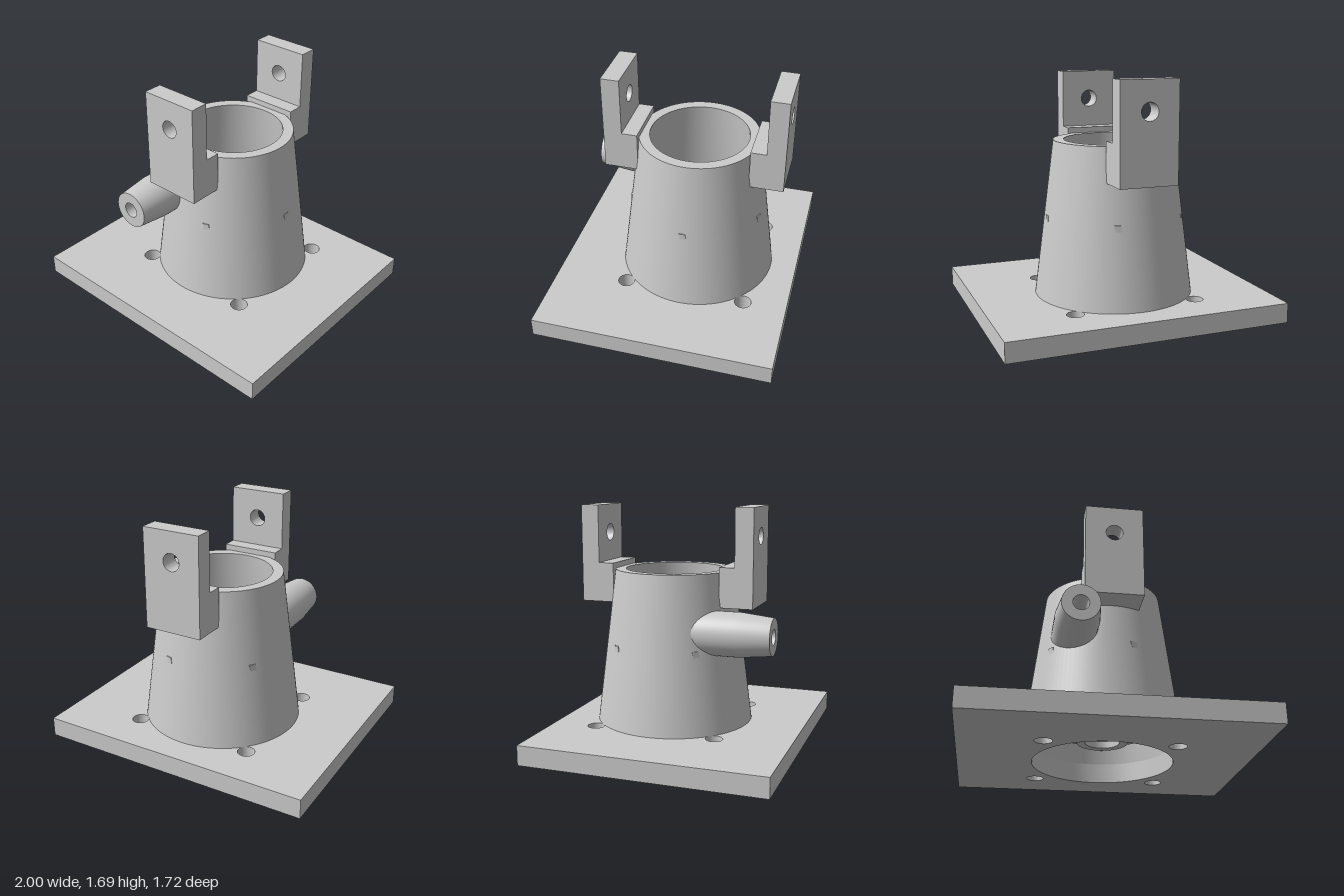
import * as THREE from 'three';
import { toCreasedNormals } from 'three/addons/utils/BufferGeometryUtils.js';

const AXIS_Z = -0.105; // centre of the tapered body
const material = new THREE.MeshStandardMaterial({ color: 0xcccccc });

function addMesh(parent, name, geometry, crease = 0.5) {
  const mesh = new THREE.Mesh(toCreasedNormals(geometry, crease), material);
  mesh.name = name;
  parent.add(mesh);
  return mesh;
}

// Closed ring profile: up the outside, down the inside
function ring(profile, segments = 72) {
  const pts = [...profile, profile[0]].map(([r, y]) => new THREE.Vector2(r, y));
  return new THREE.LatheGeometry(pts, segments);
}

function rectangle(x0, y0, x1, y1) {
  return new THREE.Shape([[x0, y0], [x1, y0], [x1, y1], [x0, y1]].map(([x, y]) => new THREE.Vector2(x, y)));
}

function cutHole(shape, x, y, r) {
  shape.holes.push(new THREE.Path().absarc(x, y, r, 0, Math.PI * 2, true));
}

function extrude(shape, depth) {
  return new THREE.ExtrudeGeometry(shape, { depth, bevelEnabled: false, curveSegments: 36 });
}

// Guide vane: a slab twisted about the body axis, lower edge rising outward
function vaneGeometry() {
  const inner = 0.14, outer = 0.496, top = 0.725;
  const g = new THREE.BoxGeometry(outer - inner, 1, 0.045, 4, 10, 1);
  g.translate((inner + outer) / 2, 0.5, 0);
  const p = g.attributes.position;
  const v = new THREE.Vector3(), up = new THREE.Vector3(0, 1, 0);
  for (let i = 0; i < p.count; i++) {
    v.fromBufferAttribute(p, i);
    const t = v.y;
    const low = 0.15 + 0.1 * (v.x - inner) / (outer - inner);
    v.y = low + (top - low) * t;
    v.applyAxisAngle(up, (1 - t) * 0.22);
    p.setXYZ(i, v.x, v.y, v.z);
  }
  return g;
}

export function createModel() {
  const model = new THREE.Group();
  model.name = 'tapered stand';

  // Base plate with bore and four bolt holes
  const plate = rectangle(-1, -0.86, 1, 0.86);
  cutHole(plate, 0, -AXIS_Z, 0.49);
  for (const sx of [-1, 1]) for (const sz of [-1, 1]) cutHole(plate, sx * 0.44, -AXIS_Z + sz * 0.44, 0.06);
  addMesh(model, 'basePlate', extrude(plate, 0.14).rotateX(-Math.PI / 2));

  // Tapered hollow body
  const body = new THREE.Group();
  body.name = 'body';
  body.position.z = AXIS_Z;
  model.add(body);
  addMesh(body, 'taperedShell', ring([[0.565, 0.14], [0.425, 1.24], [0.35, 1.24], [0.49, 0.14]], 96));

  // Central hub, counterbored from below
  addMesh(body, 'hub', ring([[0.18, 0.15], [0.157, 0.73], [0.075, 0.73], [0.075, 0.2], [0.12, 0.2], [0.12, 0.15]]));

  // Five twisted vanes
  for (let i = 0; i < 5; i++) {
    addMesh(body, 'vane' + (i + 1), vaneGeometry()).rotation.y = i * Math.PI * 2 / 5;
  }

  // Front and back lugs, each an upright arm with a pivot hole and a foot
  for (const [name, side] of [['frontLug', 1], ['backLug', -1]]) {
    const lug = new THREE.Group();
    lug.name = name;
    lug.position.z = AXIS_Z;
    lug.rotation.y = side > 0 ? 0 : Math.PI;
    const arm = rectangle(-0.205, 1.0, 0.205, 1.69);
    cutHole(arm, 0, 1.485, 0.06);
    addMesh(lug, 'lugArm', extrude(arm, 0.13)).position.z = 0.505;
    addMesh(lug, 'lugFoot', new THREE.BoxGeometry(0.41, 0.28, 0.11)).position.set(0, 1.14, 0.45);
    model.add(lug);
  }

  // Side nozzle, its root fitted to the middle of the shell wall
  const nozzle = ring([[0.155, 0], [0.155, 0.46], [0.13, 0.69], [0.055, 0.69], [0.055, 0]], 48);
  nozzle.rotateX(Math.PI / 2).translate(-0.245, 0.83, 0);
  const p = nozzle.attributes.position;
  for (let i = 0; i < p.count; i++) {
    if (p.getZ(i) > 0.01) continue;
    const r = 0.528 - 0.14 * (p.getY(i) - 0.14) / 1.1;
    p.setZ(i, AXIS_Z + Math.sqrt(r * r - p.getX(i) ** 2));
  }
  addMesh(model, 'nozzle', nozzle, 0.1 + Math.PI / 8);

  return model;
}
